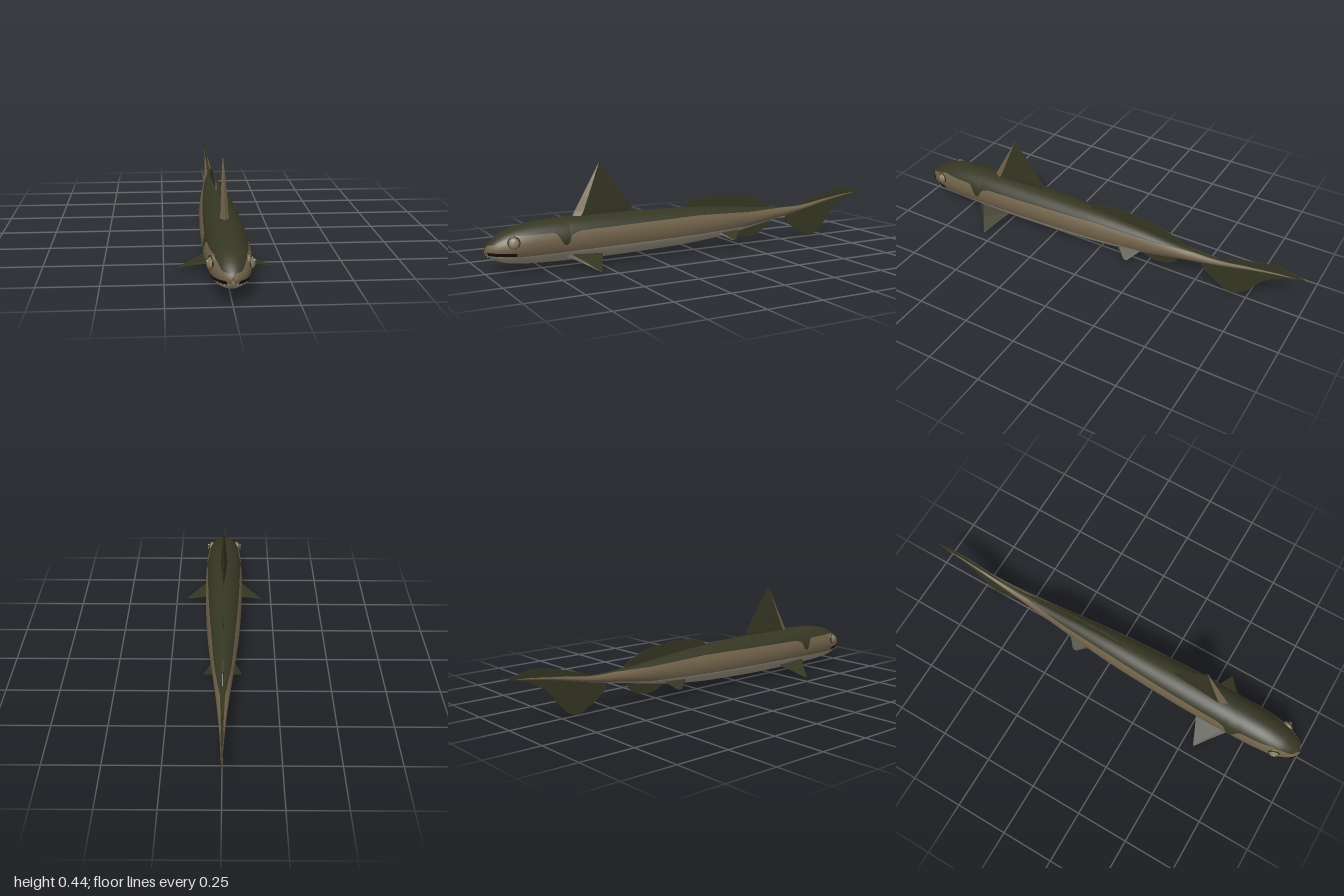
import * as THREE from 'three';

const mat = (name, color, side = THREE.FrontSide) => {
  const m = new THREE.MeshStandardMaterial({ color, side });
  m.name = name;
  return m;
};

// z, top y, bottom y, half width
const BODY = [
  [1, 0.103, 0.103, 0], [0.98, 0.137, 0.072, 0.037], [0.95, 0.16, 0.055, 0.058],
  [0.9, 0.185, 0.04, 0.077], [0.8, 0.208, 0.03, 0.089], [0.6, 0.218, 0.025, 0.095],
  [0.4, 0.217, 0.025, 0.093], [0.2, 0.213, 0.03, 0.086], [0, 0.207, 0.04, 0.075],
  [-0.2, 0.192, 0.062, 0.057], [-0.4, 0.172, 0.098, 0.037], [-0.6, 0.166, 0.135, 0.02],
  [-0.8, 0.193, 0.178, 0.009], [-1, 0.213, 0.211, 0.001],
];
// z, height of the back colour edge, height of the belly colour edge
const EDGES = [
  [1, 0.125, 0.088], [0.97, 0.13, 0.085], [0.93, 0.15, 0.08], [0.88, 0.165, 0.075],
  [0.72, 0.167, 0.078], [0.7, 0.155, 0.078], [0.685, 0.115, 0.08], [0.66, 0.108, 0.08],
  [0.64, 0.155, 0.08], [0.6, 0.167, 0.082], [0.3, 0.172, 0.085], [0, 0.176, 0.088],
  [-0.3, 0.163, 0.097], [-0.45, 0.164, 0.117], [-0.6, 0.166, 0.139], [-1, 0.216, 0.21],
];

function linear(table, z, k) {
  let i = 0;
  while (i < table.length - 2 && z < table[i + 1][0]) i++;
  const a = table[i], b = table[i + 1];
  return a[k] + (b[k] - a[k]) * (z - a[0]) / (b[0] - a[0]);
}

// Smooth interpolation of the body table; the square root rounds the snout
function smooth(z, k) {
  const s = (i) => Math.sqrt(1 - BODY[i][0]), n = BODY.length;
  const slope = (i) => {
    const a = Math.max(i - 1, 0), b = Math.min(i + 1, n - 1);
    return (BODY[b][k] - BODY[a][k]) / (s(b) - s(a));
  };
  let i = 0;
  while (i < n - 2 && z < BODY[i + 1][0]) i++;
  const h = s(i + 1) - s(i), t = (Math.sqrt(Math.max(0, 1 - z)) - s(i)) / h;
  const t2 = t * t, t3 = t2 * t;
  return (2 * t3 - 3 * t2 + 1) * BODY[i][k] + (t3 - 2 * t2 + t) * h * slope(i)
    + (3 * t2 - 2 * t3) * BODY[i + 1][k] + (t3 - t2) * h * slope(i + 1);
}

function section(z) {
  const top = smooth(z, 1), bottom = smooth(z, 2);
  return { y: (top + bottom) / 2, ry: Math.max((top - bottom) / 2, 0.0004), rx: Math.max(smooth(z, 3), 0.0004) };
}

// Lofted body whose columns follow the colour edges
function bodyGeometry() {
  const rings = 130, counts = [8, 5, 8], half = 21, around = half * 2;
  const pos = [], faces = [[], [], []];
  for (let i = 0; i <= rings; i++) {
    const s = Math.SQRT2 * i / rings, z = 1 - s * s, c = section(z);
    const angle = (k, lo, hi) => Math.acos(THREE.MathUtils.clamp((linear(EDGES, z, k) - c.y) / c.ry, lo, hi));
    const stops = [0, angle(1, -0.3, 0.92), angle(2, -0.9, -0.35), Math.PI];
    for (let j = 0; j < around; j++) {
      let m = j <= half ? j : around - j, zone = 0;
      while (m > counts[zone]) m -= counts[zone++];
      const a = stops[zone] + (stops[zone + 1] - stops[zone]) * m / counts[zone];
      pos.push((j <= half ? 1 : -1) * c.rx * Math.sin(a), c.y + c.ry * Math.cos(a), z);
    }
  }
  for (let i = 0; i < rings; i++) for (let j = 0; j < around; j++) {
    const m = j < half ? j : around - 1 - j;
    const zone = m < counts[0] ? 0 : m < counts[0] + counts[1] ? 1 : 2;
    const a = i * around + j, b = i * around + (j + 1) % around;
    faces[zone].push(a, b, a + around, b, b + around, a + around);
  }
  const g = new THREE.BufferGeometry();
  g.setAttribute('position', new THREE.Float32BufferAttribute(pos, 3));
  g.setIndex(faces.flat());
  let start = 0;
  faces.forEach((f, k) => { g.addGroup(start, f.length, k); start += f.length; });
  g.computeVertexNormals();
  return g;
}

// Tapered fin from rows of [leading point, trailing point, half thickness]
function taperedFin(rows, normal) {
  const n = new THREE.Vector3(...normal).normalize(), lead = [], rest = [];
  const rings = rows.map(([f, r, t]) => {
    const a = new THREE.Vector3(...f), b = new THREE.Vector3(...r), m = a.clone().lerp(b, 0.13);
    return [a, m.clone().addScaledVector(n, t), b, m.clone().addScaledVector(n, -t)];
  });
  for (let i = 0; i < rings.length - 1; i++) for (let j = 0; j < 4; j++) {
    const k = (j + 1) % 4, p = rings[i], q = rings[i + 1];
    for (const v of [p[j], p[k], q[j], p[k], q[k], q[j]]) (j % 3 === 0 ? lead : rest).push(...v.toArray());
  }
  const g = new THREE.BufferGeometry();
  g.setAttribute('position', new THREE.Float32BufferAttribute([...lead, ...rest], 3));
  g.addGroup(0, lead.length / 3, 0);
  g.addGroup(lead.length / 3, rest.length / 3, 1);
  g.computeVertexNormals();
  return g;
}

// Thin upright fin from a [z, y] outline
function flatFin(points) {
  const g = new THREE.ExtrudeGeometry(new THREE.Shape(points.map((p) => new THREE.Vector2(...p))),
    { depth: 0.005, bevelEnabled: false });
  return g.translate(0, 0, -0.0025).rotateY(-Math.PI / 2);
}

// Point just outside the side of the head
function onHead(z, y, side) {
  const c = section(z), d = Math.min(Math.abs(y - c.y) / c.ry, 0.98);
  return [side * (c.rx * Math.sqrt(1 - d * d) + 0.002), y, z + 0.003];
}

export function createModel() {
  const group = new THREE.Group();
  const back = mat('dark olive', 0x363624, THREE.DoubleSide);
  const flank = mat('brown', 0x70624a, THREE.DoubleSide);
  const belly = mat('pale belly', 0xa09886);
  const mouthMat = mat('mouth dark', 0x1e0d0b, THREE.DoubleSide);
  const toothMat = mat('tooth', 0xb5ad98);
  const eyeMat = mat('eye', 0x857a5c);
  const add = (name, geo, material) => {
    const m = new THREE.Mesh(geo, material);
    m.name = name;
    group.add(m);
    return m;
  };

  add('body', bodyGeometry(), [back, flank, belly]);

  // Front dorsal fin: y, leading z, trailing z, half thickness
  const dorsal = [[0.2, 0.618, 0.35, 0.019], [0.235, 0.597, 0.32, 0.017], [0.3, 0.56, 0.368, 0.013],
    [0.37, 0.52, 0.42, 0.008], [0.43, 0.486, 0.462, 0.003], [0.447, 0.476, 0.472, 0.001]];
  add('frontDorsalFin', taperedFin(dorsal.map(([y, a, b, t]) => [[0, y, a], [0, y, b], t]), [1, 0, 0]), [flank, back]);

  // Upright fins along the tail
  add('rearDorsalFin', flatFin([[0.07, 0.19], [0.06, 0.207], [0.03, 0.235], [-0.04, 0.249], [-0.13, 0.253],
    [-0.22, 0.247], [-0.32, 0.23], [-0.39, 0.203], [-0.43, 0.17], [-0.3, 0.16]]), back);
  add('analFin', flatFin([[-0.18, 0.09], [-0.21, 0.063], [-0.25, 0.04], [-0.3, 0.033], [-0.35, 0.04],
    [-0.39, 0.062], [-0.42, 0.115], [-0.3, 0.11]]), back);
  add('lowerTailFin', flatFin([[-0.525, 0.145], [-0.525, 0.095], [-0.58, 0.05], [-0.65, 0.01], [-0.69, 0.006],
    [-0.73, 0.028], [-0.77, 0.072], [-0.81, 0.125], [-0.86, 0.163], [-0.92, 0.192], [-1, 0.212], [-0.8, 0.19], [-0.6, 0.155]]), back);
  add('upperTailFin', flatFin([[-0.55, 0.155], [-0.62, 0.175], [-0.72, 0.207], [-0.82, 0.231], [-0.89, 0.236],
    [-0.94, 0.226], [-1, 0.212], [-0.8, 0.183], [-0.65, 0.155]]), back);

  for (const s of [1, -1]) {
    const side = s > 0 ? 'left' : 'right';

    // Paired fins
    add(side + 'PectoralFin', taperedFin([
      [[s * 0.06, 0.062, 0.675], [s * 0.06, 0.056, 0.49], 0.009],
      [[s * 0.13, 0.034, 0.615], [s * 0.13, 0.03, 0.522], 0.005],
      [[s * 0.2, 0.003, 0.558], [s * 0.2, 0.003, 0.552], 0.001]], [s * 0.4, 1, 0]), [back, back]);
    add(side + 'PelvicFin', taperedFin([
      [[s * 0.035, 0.085, -0.09], [s * 0.035, 0.085, -0.23], 0.005],
      [[s * 0.085, 0.046, -0.165], [s * 0.085, 0.046, -0.185], 0.001]], [s * 0.6, 1, 0]), [back, back]);

    // Bulging eye with a small bright spot
    const eye = add(side + 'Eye', new THREE.SphereGeometry(0.026, 20, 14), eyeMat);
    eye.scale.set(0.55, 1, 0.9);
    eye.position.set(s * 0.075, 0.139, 0.895);
    eye.rotation.set(0, -s * 0.3, s * 0.3);
    const rim = add(side + 'EyeRim', new THREE.TorusGeometry(0.0245, 0.003, 6, 24), back);
    rim.position.set(s * 0.076, 0.14, 0.895);
    rim.rotation.set(0, s * (Math.PI / 2 - 0.3), 0);
    const glint = add(side + 'EyeGlint', new THREE.SphereGeometry(0.004, 8, 6), toothMat);
    glint.position.set(s * 0.088, 0.146, 0.899);

    // Mouth strip wrapped on the head
    const pos = [], index = [], steps = 16;
    for (let i = 0; i <= steps; i++) {
      const t = i / steps, z = 0.99 - 0.11 * t * t, y = 0.094 - 0.007 * t;
      pos.push(...onHead(z, y + 0.007, s), ...onHead(z, y - 0.007, s));
      if (i < steps) index.push(2 * i, 2 * i + 1, 2 * i + 2, 2 * i + 1, 2 * i + 3, 2 * i + 2);
    }
    if (s < 0) index.reverse();
    const strip = new THREE.BufferGeometry();
    strip.setAttribute('position', new THREE.Float32BufferAttribute(pos, 3));
    strip.setIndex(index);
    strip.computeVertexNormals();
    add(side + 'Mouth', strip, mouthMat);

    // Small pointed teeth
    for (const t of [0.15, 0.35, 0.5, 0.65]) {
      const tooth = add(side + 'Tooth', new THREE.ConeGeometry(0.003, 0.013, 5), toothMat);
      tooth.position.set(...onHead(0.99 - 0.11 * t * t, 0.083 - 0.006 * t, s));
      tooth.rotation.x = Math.PI;
    }
  }
  return group;
}
